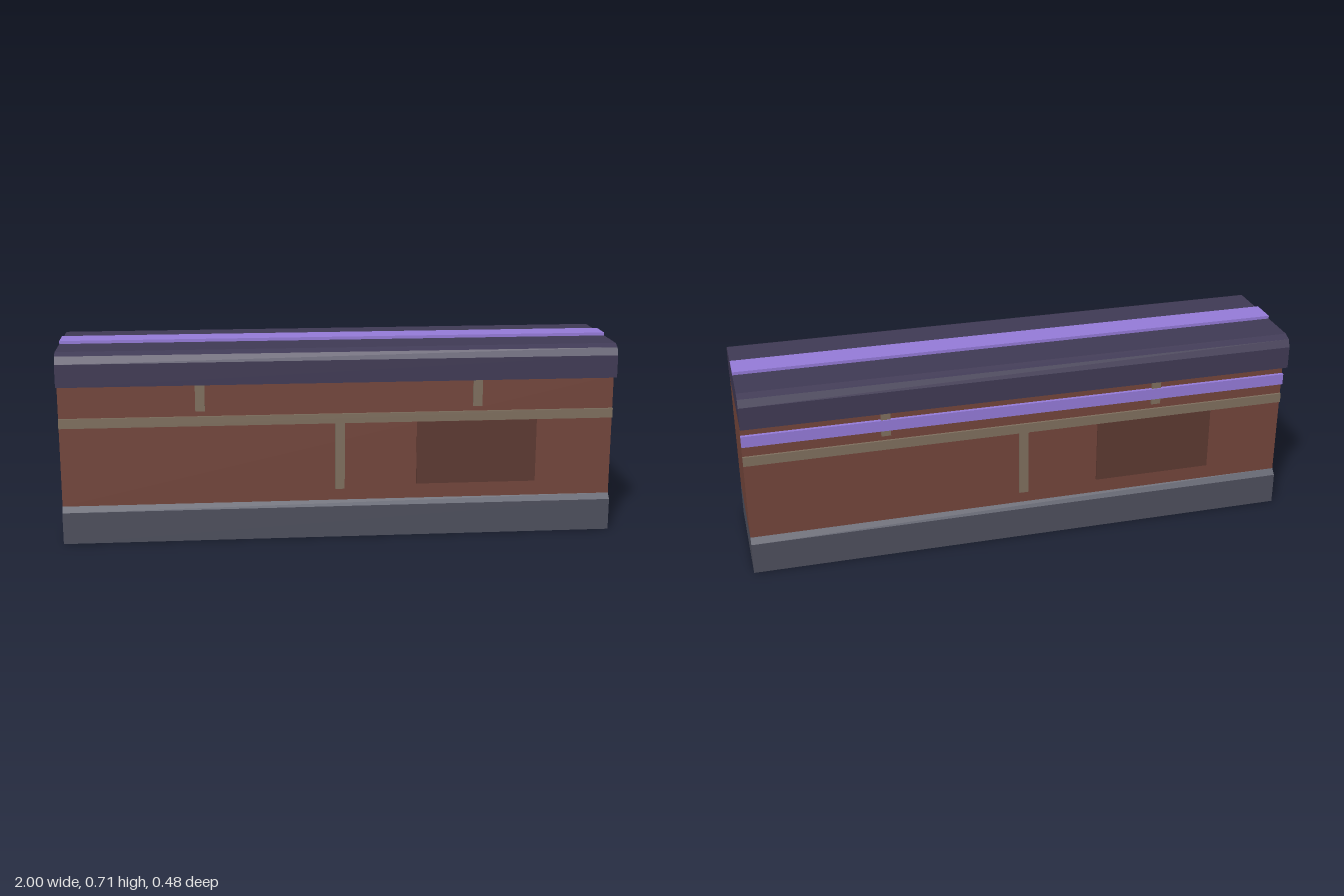
import * as THREE from 'three';

const LENGTH = 2;
const material = (color) => new THREE.MeshStandardMaterial({ color, flatShading: true });

export function createModel() {
  const model = new THREE.Group();
  model.name = 'brickWall';
  const brick = material(0x74463c);
  const darkBrick = material(0x5e3a32);
  const mortar = material(0x80705f);
  const stone = material(0x4e505e);
  const capStone = material(0x403a55);
  const violet = material(0x967cdb);

  // Box given by its extents
  function box(parent, name, mat, [x0, x1], [y0, y1], [z0, z1]) {
    const mesh = new THREE.Mesh(new THREE.BoxGeometry(x1 - x0, y1 - y0, z1 - z0), mat);
    mesh.position.set((x0 + x1) / 2, (y0 + y1) / 2, (z0 + z1) / 2);
    mesh.name = name;
    parent.add(mesh);
  }

  // Symmetric cross-section (half given as [z, y], bottom to top) run along x
  function profile(name, mat, half) {
    const points = [...half, ...half.map(([z, y]) => [-z, y]).reverse()];
    const shape = new THREE.Shape(points.map(([z, y]) => new THREE.Vector2(z, y)));
    const geometry = new THREE.ExtrudeGeometry(shape, { depth: LENGTH, bevelEnabled: false });
    geometry.translate(0, 0, -LENGTH / 2).rotateY(Math.PI / 2);
    const mesh = new THREE.Mesh(geometry, mat);
    mesh.name = name;
    model.add(mesh);
  }

  const full = [-LENGTH / 2, LENGTH / 2];

  // Main body
  profile('plinth', stone, [[0.22, 0], [0.22, 0.116], [0.2, 0.135]]);
  box(model, 'wallBody', brick, full, [0.135, 0.58], [-0.2, 0.2]);
  profile('cap', capStone, [[0.24, 0.58], [0.24, 0.662], [0.228, 0.689], [0.2, 0.7]]);

  // Mortar joints and a dark brick; the back is the front turned half round
  for (const side of ['front', 'back']) {
    const face = new THREE.Group();
    face.name = side + 'Face';
    const depth = [0.2, 0.208];
    box(face, 'mortarCourse', mortar, full, [0.424, 0.459], depth);
    box(face, 'mortarLowerJoint', mortar, [-0.017, 0.017], [0.178, 0.424], depth);
    for (const x of [-0.5, 0.5]) {
      box(face, 'mortarUpperJoint', mortar, [x - 0.017, x + 0.017], [0.478, 0.58], depth);
    }
    box(face, 'darkBrick', darkBrick, [0.28, 0.72], [0.19, 0.423], [0.2, 0.206]);
    if (side === 'back') face.rotation.y = Math.PI;
    model.add(face);
  }

  // Violet trim strips
  box(model, 'topStrip', violet, full, [0.7, 0.711], [-0.05, 0.05]);
  box(model, 'backStrip', violet, full, [0.5, 0.541], [-0.213, -0.2]);

  return model;
}
